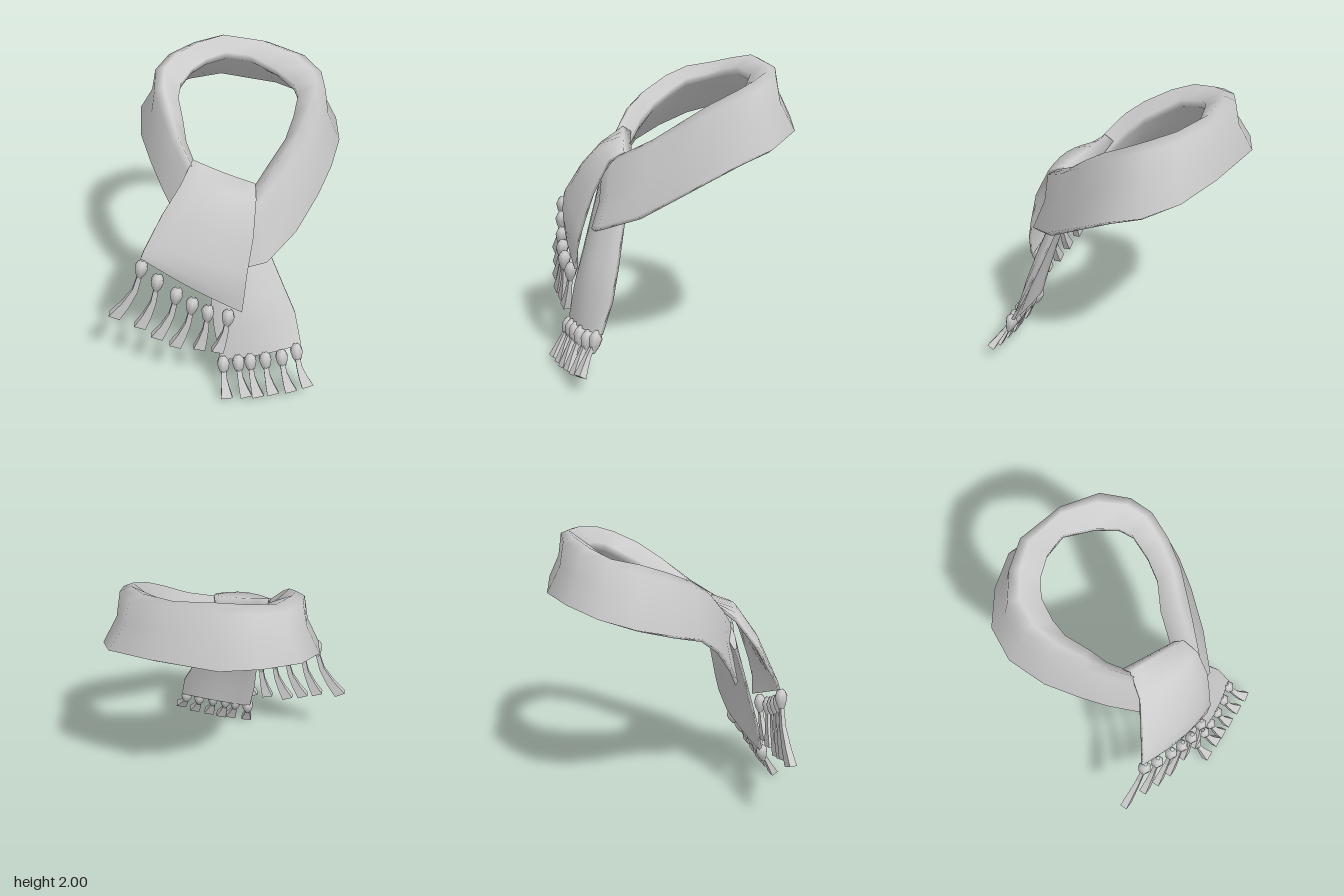
import * as THREE from 'three';

const wool = new THREE.MeshStandardMaterial({ color: 0xcccccc });
wool.name = 'grey wool';
const V = (x, y, z) => new THREE.Vector3(x, y, z);

// Closed skin through a row of point loops, with capped ends
function loft(rows, flat = false) {
  const n = rows[0].length, pos = [], idx = [];
  rows.forEach(r => r.forEach(p => pos.push(p.x, p.y, p.z)));
  for (let i = 0; i < rows.length - 1; i++) {
    for (let j = 0; j < n; j++) {
      const a = i * n + j, b = i * n + (j + 1) % n;
      idx.push(a, b, a + n, b, b + n, a + n);
    }
  }
  [rows[0], rows[rows.length - 1]].forEach((r, end) => {
    const s = pos.length / 3;
    const c = r.reduce((sum, p) => sum.add(p), V(0, 0, 0)).divideScalar(n);
    [...r, c].forEach(p => pos.push(p.x, p.y, p.z));
    for (let j = 0; j < n; j++) {
      const a = s + j, b = s + (j + 1) % n;
      if (end) idx.push(a, b, s + n); else idx.push(b, a, s + n);
    }
  });
  // turn the faces outward if the enclosed volume comes out negative
  const at = k => V(pos[3 * k], pos[3 * k + 1], pos[3 * k + 2]);
  let volume = 0;
  for (let k = 0; k < idx.length; k += 3) volume += at(idx[k]).dot(at(idx[k + 1]).cross(at(idx[k + 2])));
  if (volume < 0) idx.reverse();
  let g = new THREE.BufferGeometry();
  g.setAttribute('position', new THREE.Float32BufferAttribute(pos, 3));
  g.setIndex(idx);
  if (flat) g = g.toNonIndexed();
  g.computeVertexNormals();
  return g;
}

function add(parent, name, geometry) {
  const m = new THREE.Mesh(geometry, wool);
  m.name = name;
  parent.add(m);
  return m;
}

// Neck loop stations: inner x, z, outer x, z, top y, bottom y
const LOOP = [
  [0.02, 0.34, 0.10, 0.56, 1.28, 0.90], [0.15, 0.30, 0.26, 0.57, 1.41, 0.95],
  [0.28, 0.13, 0.46, 0.38, 1.53, 1.05], [0.40, 0.02, 0.62, 0.17, 1.66, 1.20],
  [0.46, -0.10, 0.72, 0.00, 1.76, 1.31], [0.50, -0.24, 0.79, -0.18, 1.84, 1.41],
  [0.47, -0.32, 0.79, -0.38, 1.89, 1.47], [0.36, -0.43, 0.70, -0.59, 1.93, 1.56],
  [0.20, -0.55, 0.42, -0.73, 1.97, 1.61], [0.03, -0.54, 0.00, -0.845, 2.00, 1.64],
  [-0.10, -0.50, -0.24, -0.78, 1.97, 1.63], [-0.20, -0.43, -0.46, -0.65, 1.93, 1.60],
  [-0.27, -0.30, -0.56, -0.45, 1.90, 1.54], [-0.29, -0.20, -0.55, -0.20, 1.84, 1.46],
  [-0.26, -0.05, -0.48, 0.02, 1.75, 1.38], [-0.24, 0.06, -0.40, 0.17, 1.66, 1.25],
  [-0.15, 0.22, -0.28, 0.31, 1.49, 1.05], [0.00, 0.32, -0.15, 0.42, 1.36, 0.87],
];
// Cloth folded over at the top and open below: share outward, share of height
const FOLD = [[0.04, 0.64], [0, 0.78], [0.38, 1], [0.6, 0.92], [0.7, 0.5], [1, 0.06], [0.88, 0], [0.45, 0.38]];

function neckLoop() {
  return loft(LOOP.map(([ix, iz, ox, oz, top, low]) => FOLD.map(([f, h]) =>
    V(ix + (ox - ix) * f, low + (top - low) * h, iz + (oz - iz) * f))));
}

// Cloth strip; each row: left edge, right edge, tilt of the outer face, bow
function strip(rows, thick) {
  const steps = 6;
  return loft(rows.map(([a, b, tilt, bow]) => {
    const A = V(...a), B = V(...b), out = V(0, Math.sin(tilt), Math.cos(tilt));
    const front = [], back = [];
    for (let i = 0; i <= steps; i++) {
      const t = i / steps, s = Math.sin(Math.PI * t);
      const p = A.clone().lerp(B, t).addScaledVector(out, bow * s);
      front.push(p);
      back.unshift(p.clone().addScaledVector(out, -thick * (0.35 + 0.65 * s)));
    }
    return [...front, ...back];
  }));
}

// Knotted tassel: a faceted bead and a flaring square tuft
function tassel(parent, name, knot, end) {
  const g = new THREE.Group();
  g.name = name;
  const K = V(...knot), E = V(...end);
  const dir = E.clone().sub(K).normalize();
  const bead = new THREE.LatheGeometry(
    [[0.012, -0.08], [0.036, -0.03], [0.046, 0.015], [0.034, 0.045], [0.012, 0.07]]
      .map(([r, y]) => new THREE.Vector2(r, y)), 6);
  const m = add(g, 'tasselKnot', bead);
  m.position.copy(K);
  m.quaternion.setFromUnitVectors(V(0, -1, 0), V(dir.x * 0.4, dir.y, dir.z * 0.4).normalize());

  const side = V(1, 0, 0).addScaledVector(dir, -dir.x).normalize();
  const depth = new THREE.Vector3().crossVectors(side, dir);
  const rows = [[0.1, 0.015, 0.012], [0.45, 0.019, 0.015], [0.75, 0.029, 0.02], [1, 0.039, 0.026]]
    .map(([t, w, d]) => {
      const c = K.clone().lerp(E, t);
      c.x -= (E.x - K.x) * 0.2 * Math.sin(Math.PI * t);
      return [[-1, -1], [1, -1], [1, 1], [-1, 1]].map(([u, v]) =>
        c.clone().addScaledVector(side, u * w).addScaledVector(depth, v * d));
    });
  add(g, 'tasselTuft', loft(rows, true));
  parent.add(g);
}

export function createModel() {
  const scarf = new THREE.Group();
  scarf.name = 'scarf';
  add(scarf, 'neckLoop', neckLoop());

  // Upper end: comes up inside the loop, folds over the crossing and hangs in front
  add(scarf, 'upperEnd', strip([
    [[-0.14, 1.28, 0.29], [0.17, 1.18, 0.34], 2.8, 0],
    [[-0.20, 1.49, 0.15], [0.17, 1.37, 0.30], 2.0, 0],
    [[-0.20, 1.53, 0.21], [0.19, 1.44, 0.36], 1.3, -0.01],
    [[-0.28, 1.42, 0.34], [0.19, 1.39, 0.47], 0.8, 0.04],
    [[-0.40, 1.26, 0.44], [0.17, 1.18, 0.58], 0.4, 0.05],
    [[-0.48, 1.12, 0.50], [0.13, 0.94, 0.65], 0.25, 0.05],
    [[-0.52, 1.05, 0.53], [0.115, 0.80, 0.68], 0.15, 0.05],
    [[-0.54, 1.00, 0.54], [0.10, 0.66, 0.68], 0.1, 0.03],
  ], 0.06));

  // Lower end: carries on from the crossing and hangs behind
  add(scarf, 'lowerEnd', strip([
    [[-0.24, 1.20, 0.36], [0.02, 1.34, 0.36], 0.4, 0.03],
    [[-0.14, 1.00, 0.46], [0.27, 0.99, 0.41], 0.3, 0.06],
    [[-0.10, 0.70, 0.56], [0.38, 0.73, 0.50], 0.2, 0.07],
    [[-0.08, 0.48, 0.63], [0.46, 0.55, 0.57], 0.2, 0.06],
    [[-0.04, 0.25, 0.69], [0.50, 0.35, 0.66], 0.2, 0.03],
  ], 0.06));

  // Fringe, each pair: knot centre, tuft end
  [
    [[-0.54, 0.93, 0.55], [-0.74, 0.53, 0.54]], [[-0.44, 0.85, 0.59], [-0.57, 0.48, 0.59]],
    [[-0.32, 0.77, 0.63], [-0.46, 0.42, 0.63]], [[-0.22, 0.71, 0.66], [-0.34, 0.37, 0.66]],
    [[-0.12, 0.66, 0.68], [-0.18, 0.36, 0.68]], [[0.01, 0.62, 0.68], [-0.06, 0.35, 0.70]],
  ].forEach(([k, e], i) => tassel(scarf, 'upperTassel' + (i + 1), k, e));
  [
    [[-0.02, 0.22, 0.70], [0.00, 0.02, 0.81]], [[0.08, 0.24, 0.71], [0.13, 0.03, 0.81]],
    [[0.16, 0.25, 0.71], [0.21, 0.03, 0.81]], [[0.26, 0.26, 0.71], [0.31, 0.05, 0.81]],
    [[0.37, 0.27, 0.70], [0.43, 0.07, 0.81]], [[0.47, 0.30, 0.68], [0.54, 0.11, 0.81]],
  ].forEach(([k, e], i) => tassel(scarf, 'lowerTassel' + (i + 1), k, e));
  return scarf;
}
